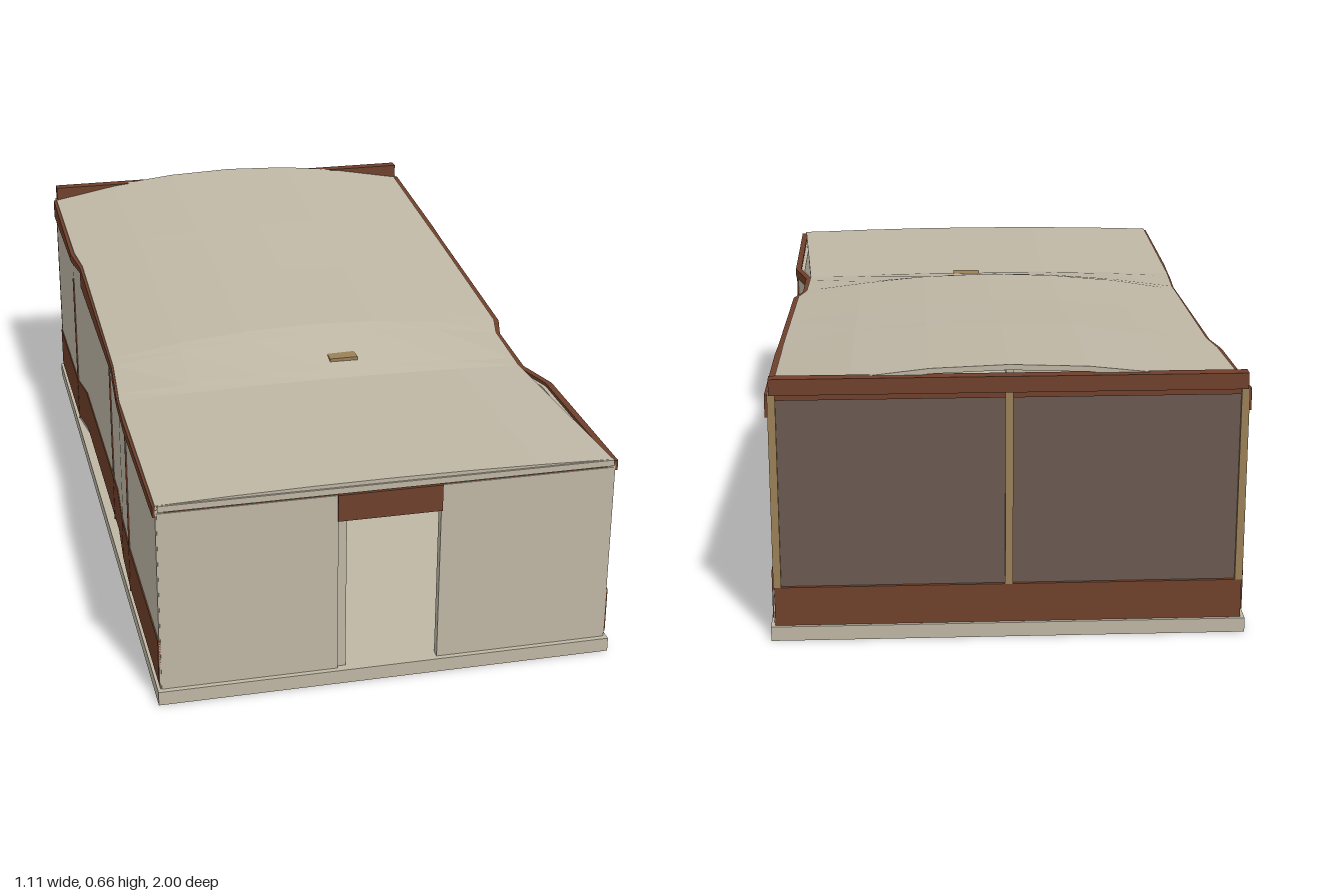
import * as THREE from 'three';

const mat = (name, color) => {
  const m = new THREE.MeshStandardMaterial({ color });
  m.name = name;
  return m;
};

// Linear interpolation through [z, value] pairs listed from front to back
function along(pairs, z) {
  if (z >= pairs[0][0]) return pairs[0][1];
  for (let i = 1; i < pairs.length; i++) {
    const [z0, v0] = pairs[i - 1], [z1, v1] = pairs[i];
    if (z >= z1) return v0 + (v1 - v0) * (z - z0) / (z1 - z0);
  }
  return pairs[pairs.length - 1][1];
}

// Closed faceted solid through rings (anticlockwise seen from +z), front to back
function loft(rings) {
  const pos = [], n = rings[0].length;
  const quad = (a, b, c, d) => pos.push(...a, ...b, ...c, ...a, ...c, ...d);
  for (let s = 0; s + 1 < rings.length; s++) {
    for (let i = 0; i < n; i++) {
      const j = (i + 1) % n;
      quad(rings[s][i], rings[s + 1][i], rings[s + 1][j], rings[s][j]);
    }
  }
  const f = rings[0], b = rings[rings.length - 1];
  for (let i = 0; i < n / 2 - 1; i++) {
    quad(f[i], f[i + 1], f[n - 2 - i], f[n - 1 - i]);
    quad(b[n - 1 - i], b[n - 2 - i], b[i + 1], b[i]);
  }
  const g = new THREE.BufferGeometry();
  g.setAttribute('position', new THREE.Float32BufferAttribute(pos, 3));
  g.computeVertexNormals();
  return g;
}

// Half widths of the walls and roof, and heights of the roof
const wallLeft = [[1, .548], [.52, .548], [.4, .513], [.2, .513], [.12, .535], [-.46, .545], [-.56, .548], [-1, .548]];
const wallRight = [[1, .548], [.52, .548], [.36, .543], [.2, .532], [-.46, .532], [-.56, .546], [-1, .548]];
const roofLeft = [[1, .543], [.4, .505], [.2, .508], [.12, .527], [-.46, .538], [-1, .54]];
const roofRight = [[1, .548], [.4, .546], [.2, .533], [-.46, .53], [-.56, .541], [-1, .546]];
const ridge = [[1, .525], [.4, .525], [.16, .58], [-.2, .602], [-.53, .63], [-.98, .66]];
const eave = [[1, .515], [.4, .515], [.12, .532], [-.56, .57], [-.98, .6]];
const stations = [.985, .52, .4, .36, .2, .16, .12, -.2, -.46, -.53, -.56, -.98];
const span = (z0, z1) => [z0, ...stations.filter(z => z < z0 && z > z1), z1];

export function createModel() {
  const model = new THREE.Group();
  const plaster = mat('plaster', 0xbfb7a5);
  const timber = mat('dark timber', 0x6f402b);
  const tan = mat('light timber', 0x9a8056);
  const glass = mat('smoked glass', 0x6a5a51);

  const add = (name, geo, material, x = 0, y = 0, z = 0, parent = model) => {
    const m = new THREE.Mesh(geo, material);
    m.name = name;
    m.position.set(x, y, z);
    parent.add(m);
    return m;
  };
  // Box given by its limits
  const box = (name, material, x0, x1, y0, y1, z0, z1, parent = model) =>
    add(name, new THREE.BoxGeometry(x1 - x0, y1 - y0, z1 - z0), material,
      (x0 + x1) / 2, (y0 + y1) / 2, (z0 + z1) / 2, parent);

  // Strip following a side wall; out is how far it stands proud
  const strip = (name, material, side, z0, z1, bottom, top, out, thick) => {
    const path = side > 0 ? wallLeft : wallRight;
    add(name, loft(span(z0, z1).map(z => {
      const o = along(path, z) + out, t = top(z);
      const [a, b] = side > 0 ? [o - thick, o] : [-o, thick - o];
      return [[a, bottom, z], [b, bottom, z], [b, t, z], [a, t, z]];
    })), material);
  };

  // Base slab
  box('base', plaster, -.555, .555, 0, .035, -1, 1);

  // Side walls, dark plinth band, stepped eaves trim and panel joints
  for (const side of [1, -1]) {
    const name = side > 0 ? 'left' : 'right';
    strip(name + 'Wall', plaster, side, .985, -.975, .035, z => along(eave, z) - .012, 0, .02);
    strip(name + 'PlinthBand', timber, side, .985, -.975, .048, () => .165, .003, .01);
    for (const [z0, z1, y] of [[.985, .2, .486], [.2, -.46, .501], [-.46, -.98, .543]]) {
      strip(name + 'EavesTrim', timber, side, z0, z1, y, z => along(eave, z) - .004, .006, .016);
    }
    for (const z of [.52, .12, -.56]) {
      strip(name + 'PanelJoint', timber, side, z + .002, z - .002, .04, () => .49, .0035, .006);
    }
  }

  // Undulating roof slab
  const thick = .013, steps = [-1, -2 / 3, -1 / 3, 0, 1 / 3, 2 / 3, 1];
  add('roof', loft(stations.map(z => {
    const e = along(eave, z), c = along(ridge, z);
    const top = steps.map(t => [
      t * along(t > 0 ? roofLeft : roofRight, z), c + (e - c) * t * t, z]);
    return [...top.map(([x, y]) => [x, y - thick, z]), ...top.reverse()];
  })), plaster);
  box('roofVent', tan, .015, .088, .537, .549, .29, .33);

  // Front wall with doorway
  box('frontWallLeft', plaster, .123, .545, .035, .495, .965, .987);
  box('frontWallRight', plaster, -.545, -.123, .035, .495, .965, .987);
  box('doorJamb', plaster, -.125, -.101, .035, .43, .955, .978);
  box('doorLintel', timber, -.125, .125, .43, .497, .965, .992);
  box('frontHeader', timber, -.53, .53, .494, .504, .967, .984);
  box('frontFascia', plaster, -.543, .543, .5, .515, .975, .99);

  // Glazed back wall
  box('backLowerPanel', timber, -.545, .545, .035, .13, -.992, -.97);
  box('backWindow', glass, -.54, .54, .13, .6, -.984, -.978);
  for (const x of [-.538, 0, .538]) {
    box('windowPost', tan, x - .009, x + .009, .13, .6, -.993, -.968);
  }
  box('windowHeader', timber, -.54, .54, .585, .605, -.99, -.97);
  box('backFascia', timber, -.543, .543, .6, .638, -1, -.97);

  // Bench along the back window
  const bench = new THREE.Group();
  bench.name = 'bench';
  model.add(bench);
  box('benchSeat', timber, -.5, .5, .075, .088, -.968, -.85, bench);
  box('benchFront', timber, -.5, .5, .035, .075, -.968, -.86, bench);
  box('benchBack', timber, -.5, .5, .088, .18, -.968, -.955, bench);
  box('benchRail', timber, -.52, .52, .18, .19, -.968, -.945, bench);

  // Table with splayed legs
  const table = new THREE.Group();
  table.name = 'table';
  table.position.set(-.03, 0, -.25);
  model.add(table);
  box('tableTop', timber, -.075, .075, .13, .137, -.16, .16, table);
  box('tableRail', timber, -.042, .042, .07, .077, -.11, .11, table);
  for (const x of [-1, 1]) {
    for (const z of [-1, 1]) {
      const leg = add('tableLeg', new THREE.BoxGeometry(.01, .097, .012), timber,
        x * .042, .082, z * .11, table);
      leg.rotation.z = x * .12;
    }
  }
  return model;
}
